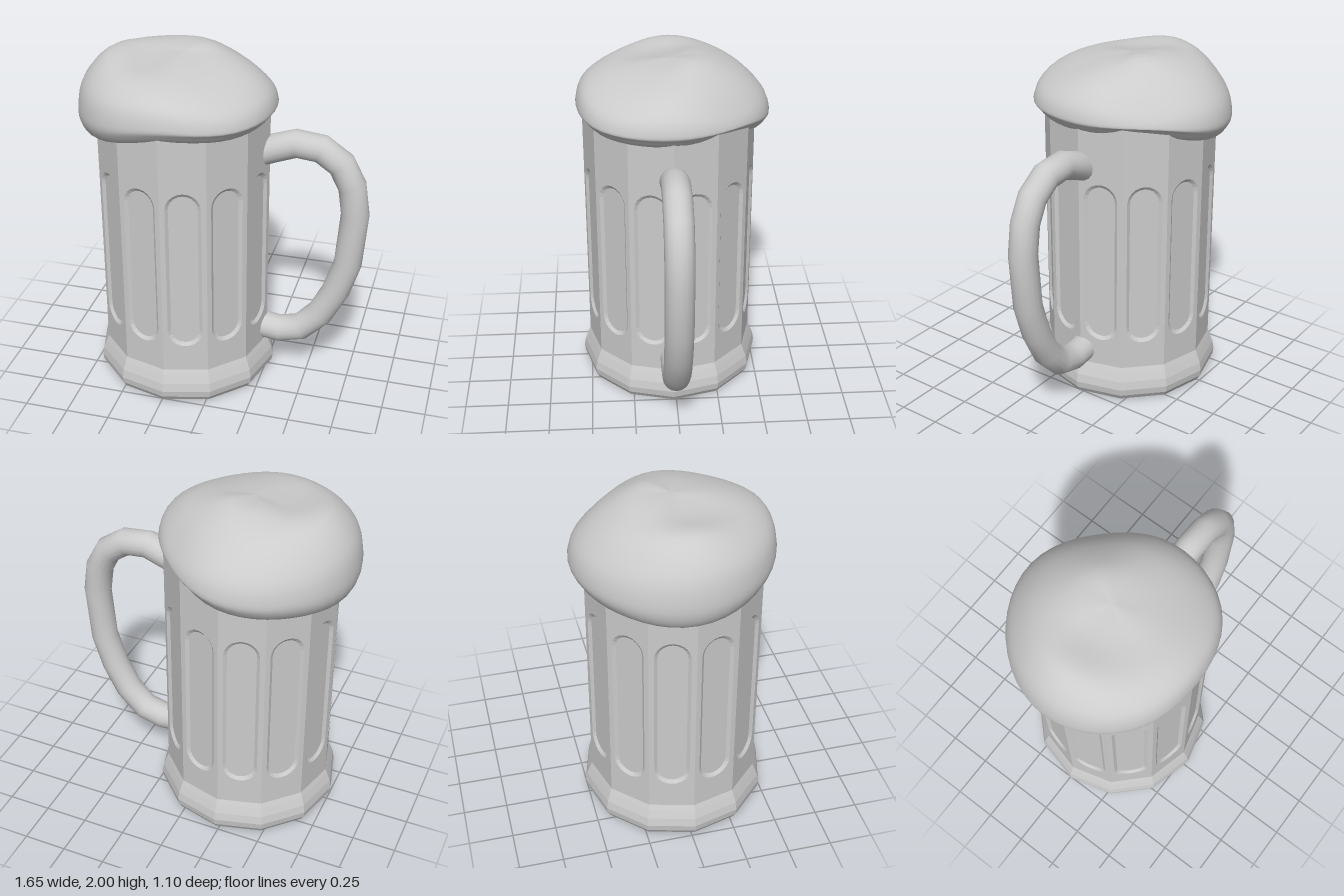
import * as THREE from 'three';
import { mergeVertices } from 'three/addons/utils/BufferGeometryUtils.js';

const SIDES = 12, RADIUS = 0.49, CX = -0.235, CZ = 0.015;
const grey = (opts = {}) => new THREE.MeshStandardMaterial({ color: 0xcccccc, ...opts });

function addMesh(parent, name, geometry, material) {
  const mesh = new THREE.Mesh(geometry, material);
  mesh.name = name;
  parent.add(mesh);
  return mesh;
}

// Upright slot outline, counter-clockwise
function slotPoints(halfWidth, bottom, top, steps = 10) {
  const pts = [];
  for (const [cy, start] of [[top - halfWidth, 0], [bottom + halfWidth, Math.PI]]) {
    for (let i = 0; i <= steps; i++) {
      const a = start + (i / steps) * Math.PI;
      pts.push(new THREE.Vector2(Math.cos(a) * halfWidth, cy + Math.sin(a) * halfWidth));
    }
  }
  return pts;
}

// Sloped strip joining the wall opening to the sunken panel
function bevelGeometry(outer, inner, depth) {
  const pos = [], n = outer.length;
  for (let i = 0; i < n; i++) {
    const k = (i + 1) % n, a = outer[i], b = outer[k], c = inner[k], d = inner[i];
    pos.push(a.x, a.y, 0, b.x, b.y, 0, c.x, c.y, -depth);
    pos.push(a.x, a.y, 0, c.x, c.y, -depth, d.x, d.y, -depth);
  }
  const geo = new THREE.BufferGeometry();
  geo.setAttribute('position', new THREE.Float32BufferAttribute(pos, 3));
  geo.computeVertexNormals();
  return geo;
}

// Twelve flat walls, each with a sunken slot panel
function buildWalls() {
  const walls = new THREE.Group();
  walls.name = 'glassWalls';
  const half = RADIUS * Math.sin(Math.PI / SIDES);
  const depth = 0.014;
  const outer = slotPoints(0.098, 0.385, 1.365);
  const inner = slotPoints(0.08, 0.405, 1.345);
  const facet = new THREE.Shape([
    new THREE.Vector2(-half, 0.19), new THREE.Vector2(half, 0.19),
    new THREE.Vector2(half, 1.74), new THREE.Vector2(-half, 1.74),
  ]);
  facet.holes.push(new THREE.Path(outer));
  const wallGeo = new THREE.ShapeGeometry(facet);
  const panelGeo = new THREE.ShapeGeometry(new THREE.Shape(inner)).translate(0, 0, -depth);
  const bevelGeo = bevelGeometry(outer, inner, depth);
  const mat = grey();
  for (let i = 0; i < SIDES; i++) {
    const side = new THREE.Group();
    side.name = 'wallSide';
    const a = ((i + 0.5) / SIDES) * Math.PI * 2;
    const apothem = RADIUS * Math.cos(Math.PI / SIDES);
    side.position.set(Math.sin(a) * apothem, 0, Math.cos(a) * apothem);
    side.rotation.y = a;
    addMesh(side, 'wall', wallGeo, mat);
    addMesh(side, 'wallPanel', panelGeo, mat);
    addMesh(side, 'panelBevel', bevelGeo, mat);
    walls.add(side);
  }
  return walls;
}

// Smooth periodic interpolation through evenly spaced values
function around(values, t) {
  const n = values.length, f = t * n, i = Math.floor(f), u = f - i;
  const [a, b, c, d] = [-1, 0, 1, 2].map((k) => values[(i + k + n) % n]);
  return b + 0.5 * u * (c - a + u * (2 * a - 5 * b + 4 * c - d + u * (3 * (b - c) + d - a)));
}

// Lopsided foam cap: a lathe whose profile changes with direction
// (values run front, front-left, left, back-left, back, back-right, right, front-right)
function foamGeometry() {
  const reach = [0.54, 0.56, 0.528, 0.5, 0.552, 0.56, 0.585, 0.568];
  const hem = [1.655, 1.655, 1.65, 1.65, 1.57, 1.53, 1.515, 1.57];
  const shoulder = [1.85, 1.81, 1.82, 1.78, 1.78, 1.79, 1.83, 1.83];
  const upper = [1.92, 1.89, 1.91, 1.9, 1.9, 1.93, 1.965, 1.93];
  const crown = [1.96, 1.955, 1.97, 1.995, 1.992, 1.985, 1.96, 1.95];
  const rows = 28, segs = 48;
  const blank = Array.from({ length: rows + 1 }, (_, j) => new THREE.Vector2(1, j));
  const geo = new THREE.LatheGeometry(blank, segs);
  const pos = geo.attributes.position;
  for (let i = 0; i <= segs; i++) {
    const t = (i % segs) / segs, a = t * Math.PI * 2;
    const [R, B, S, U, C] = [reach, hem, shoulder, upper, crown].map((v) => around(v, t));
    const profile = new THREE.SplineCurve([
      [0.38, B + 0.05], [R - 0.07, B], [R - 0.015, B + 0.05], [R, (B + S) / 2],
      [R * 0.93, S], [R * 0.7, U], [R * 0.35, C], [0, 1.985],
    ].map(([r, y]) => new THREE.Vector2(r, y)));
    for (let j = 0; j <= rows; j++) {
      const p = profile.getPoint(j / rows);
      const r = j === rows ? 0 : p.x;
      pos.setXYZ(i * (rows + 1) + j, Math.sin(a) * r, p.y, Math.cos(a) * r);
    }
  }
  geo.deleteAttribute('uv');
  geo.deleteAttribute('normal');
  const merged = mergeVertices(geo, 1e-5);
  merged.computeVertexNormals();
  return merged;
}

// Handle tube with one ring at each path point
function handleGeometry() {
  const path = new THREE.CatmullRomCurve3([
    [0.19, 1.435], [0.26, 1.465], [0.4, 1.515], [0.54, 1.5], [0.655, 1.42], [0.72, 1.295],
    [0.745, 1.125], [0.72, 0.805], [0.66, 0.61], [0.575, 0.44], [0.46, 0.32],
    [0.335, 0.287], [0.19, 0.305],
  ].map(([x, y]) => new THREE.Vector3(x, y, 0.013)));
  path.getPointAt = (t, target) => path.getPoint(t, target);
  path.getTangentAt = (t, target) => path.getTangent(t, target);
  return new THREE.TubeGeometry(path, path.points.length - 1, 0.08, 16);
}

export function createModel() {
  const mug = new THREE.Group();
  mug.name = 'foamingMug';

  const body = new THREE.Group();
  body.name = 'mugBody';
  body.position.set(CX, 0, CZ);
  body.add(buildWalls());
  mug.add(body);

  // Flared foot with a closed underside
  const foot = [[0, 0.005], [0.48, 0.005], [0.505, 0.018], [0.525, 0.05], [0.531, 0.09],
    [0.522, 0.14], [0.503, 0.19], [0.49, 0.22]].map(([r, y]) => new THREE.Vector2(r, y));
  addMesh(body, 'foot', new THREE.LatheGeometry(foot, SIDES), grey({ flatShading: true }));

  addMesh(mug, 'handle', handleGeometry(), grey({ side: THREE.DoubleSide }));

  const foam = addMesh(mug, 'foam', foamGeometry(), grey({ side: THREE.DoubleSide }));
  foam.position.set(-0.24, 0, -0.002);
  return mug;
}
